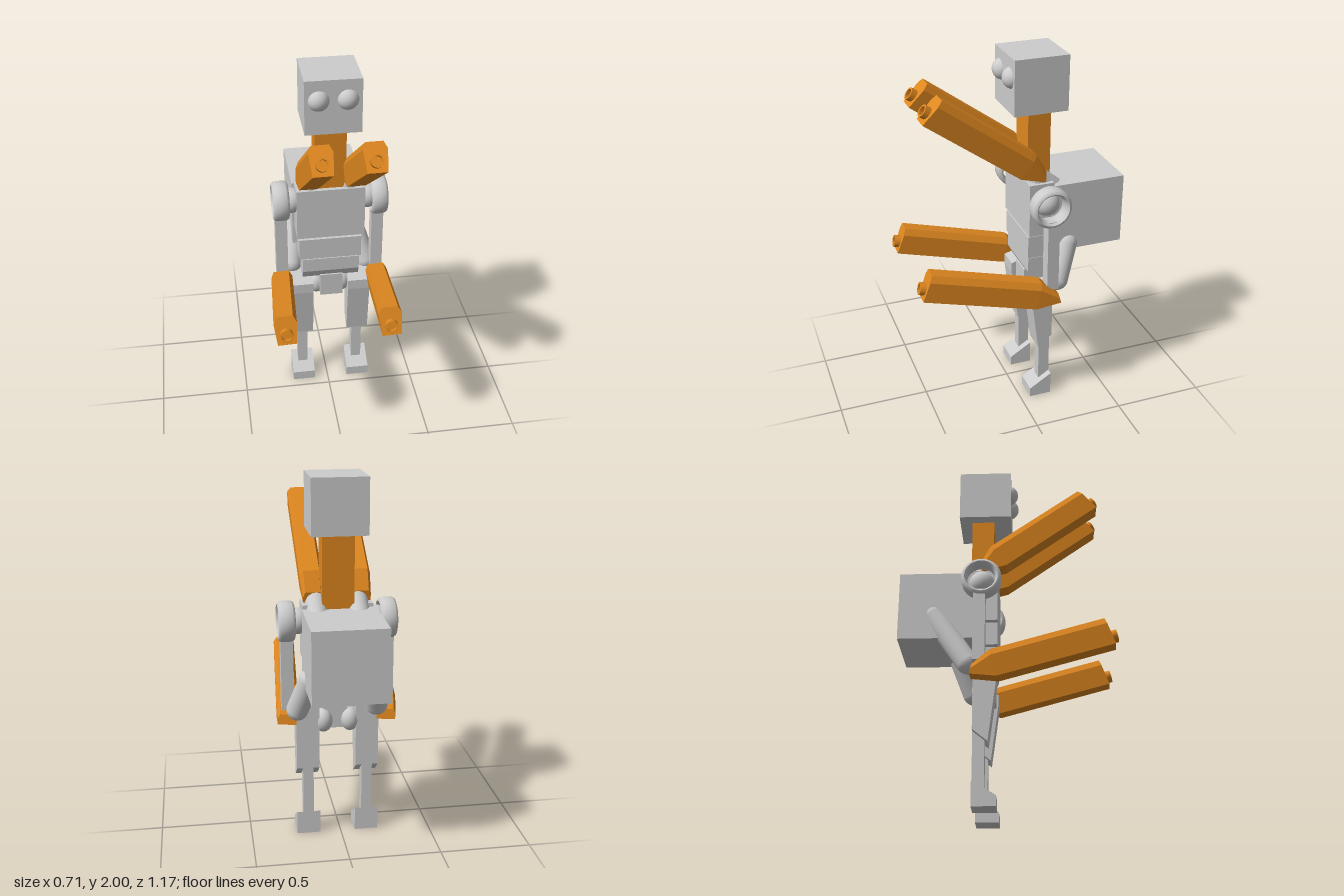
import * as THREE from 'three';
import { toCreasedNormals } from 'three/addons/utils/BufferGeometryUtils.js';

const CX = 0.018; // body centre line

export function createModel() {
  const model = new THREE.Group();
  model.name = 'robot';
  const grey = new THREE.MeshStandardMaterial({ color: 0xcccccc });
  grey.name = 'light grey';
  const orange = new THREE.MeshStandardMaterial({ color: 0xe08820 });
  orange.name = 'orange';

  const add = (name, geo, mat, parent = model) => {
    const mesh = new THREE.Mesh(geo, mat);
    mesh.name = name;
    parent.add(mesh);
    return mesh;
  };
  // box from its limits on each axis
  const box = (name, [x0, x1], [y0, y1], [z0, z1], mat = grey) =>
    add(name, new THREE.BoxGeometry(x1 - x0, y1 - y0, z1 - z0), mat)
      .position.set((x0 + x1) / 2, (y0 + y1) / 2, (z0 + z1) / 2);
  const ball = (name, r, x, y, z, sy = 1) => {
    const mesh = add(name, new THREE.SphereGeometry(r, 24, 16), grey);
    mesh.position.set(x, y, z);
    mesh.scale.y = sy;
  };
  // side outline of [z, y] points, given a width in x
  const prism = (name, outline, x, width) => {
    const shape = new THREE.Shape(outline.map(([z, y]) => new THREE.Vector2(z, y)));
    const geo = new THREE.ExtrudeGeometry(shape, { depth: width, bevelEnabled: false });
    geo.translate(0, 0, -width / 2).rotateY(-Math.PI / 2);
    add(name, geo, grey).position.x = x;
  };
  // round-ended strut between two points
  const strut = (name, from, to, r) => {
    const a = new THREE.Vector3(...from), b = new THREE.Vector3(...to);
    const mesh = add(name, new THREE.CapsuleGeometry(r, a.distanceTo(b), 8, 20), grey);
    mesh.position.copy(a).lerp(b, 0.5);
    mesh.quaternion.setFromUnitVectors(new THREE.Vector3(0, 1, 0), b.sub(a).normalize());
  };
  const lathe = (points, segments) => toCreasedNormals(
    new THREE.LatheGeometry(points.map(([r, y]) => new THREE.Vector2(r, y)), segments), 0.7);

  // head, eyes and neck
  box('head', [-0.13, 0.166], [1.705, 2], [-0.275, 0.018]);
  for (const s of [-1, 1]) ball('eye', 0.058, CX + s * 0.075, 1.89, 0);
  box('neck', [-0.067, 0.103], [1.28, 1.705], [-0.205, -0.08], orange);

  // trunk and backpack
  box('chest', [-0.17, 0.205], [1.03, 1.33], [-0.19, -0.055]);
  box('spine', [-0.12, 0.156], [0.8, 1.06], [-0.175, -0.075]);
  box('abdomen', [-0.16, 0.188], [0.89, 1.018], [-0.18, -0.055]);
  prism('pelvis', [[-0.18, 0.75], [-0.085, 0.75], [-0.06, 0.8], [-0.06, 0.882], [-0.18, 0.882]], CX, 0.32);
  box('groin', [-0.042, 0.088], [0.62, 0.76], [-0.15, -0.07]);
  box('backpack', [-0.183, 0.209], [0.92, 1.31], [-0.59, -0.185]);

  // weapon struts leaving the backpack
  strut('lowerRightStrut', [-0.135, 1.07, -0.4], [-0.19, 0.77, -0.21], 0.06);
  strut('lowerLeftStrut', [0.18, 0.95, -0.28], [0.24, 0.76, -0.205], 0.06);

  const ring = lathe([
    [0.08, -0.035], [0.09, -0.045], [0.1, -0.042], [0.108, -0.03], [0.11, 0], [0.108, 0.03],
    [0.1, 0.042], [0.09, 0.045], [0.08, 0.035], [0.075, 0], [0.08, -0.035],
  ], 32).rotateZ(Math.PI / 2);

  // shoulders, arms and legs on both sides
  for (const s of [-1, 1]) {
    strut('upperStrut', [CX + s * 0.11, 1.2, -0.29], [CX + s * 0.11, 1.335, -0.125], 0.06);
    ball('shoulderJoint', 0.07, CX + s * 0.21, 1.235, -0.138);
    add('shoulderRing', ring, grey).position.set(CX + s * 0.27, 1.235, -0.138);
    const ax = CX + s * 0.27;
    box('arm', [ax - 0.033, ax + 0.033], [0.75, 1.16], [-0.18, -0.115]);
    ball('hipBall', 0.05, CX + s * 0.073, 0.665, -0.145, 1.3);
    const lx = CX + s * 0.163;
    prism('thigh', [[-0.18, 0.4], [-0.1, 0.335], [-0.06, 0.65], [-0.06, 0.71], [-0.18, 0.75]], lx, 0.125);
    box('shin', [lx - 0.029, lx + 0.029], [0.06, 0.45], [-0.18, -0.117]);
    prism('foot', [[-0.18, 0], [-0.055, 0], [-0.055, 0.055], [-0.18, 0.133]], lx, 0.13);
  }

  // four long blasters: base point, pitch, yaw and roll
  const body = blasterBody();
  const nozzle = lathe([
    [0.034, 0.73], [0.034, 0.785], [0.024, 0.785], [0.024, 0.762], [0, 0.762],
  ], 16).rotateX(Math.PI / 2);
  for (const [name, pos, pitch, yaw, roll] of [
    ['upperRightBlaster', [-0.112, 1.34, -0.145], 0.627, 0.015, 0],
    ['upperLeftBlaster', [0.145, 1.34, -0.145], 0.627, 0.015, 0],
    ['lowerRightBlaster', [-0.248, 0.675, -0.19], 0.242, -0.07, 0.08],
    ['lowerLeftBlaster', [0.295, 0.675, -0.19], 0.242, -0.07, 0.08],
  ]) {
    const blaster = new THREE.Group();
    blaster.name = name;
    blaster.position.set(...pos);
    blaster.rotation.set(-pitch, yaw, roll, 'YXZ');
    add('blasterBody', body, orange, blaster);
    add('blasterNozzle', nozzle, orange, blaster);
    model.add(blaster);
  }
  return model;
}

// six-sided bar along +z with a wedge-shaped rear end
function blasterBody() {
  const full = [[-0.05, -0.055], [0.05, -0.055], [0.06, 0.06], [0.043, 0.096], [-0.043, 0.096], [-0.06, 0.06]];
  const rear = [[-0.05, -0.005], [0.05, -0.005], [0.052, 0.02], [0.04, 0.045], [-0.04, 0.045], [-0.052, 0.02]];
  const rings = [
    rear.map(([x, y]) => [x, y, y * 0.5]),
    full.map(([x, y]) => [x, y, 0.13]),
    full.map(([x, y]) => [x, y, 0.755 - 0.12 * y]),
  ];
  const n = full.length;
  const index = [];
  for (let k = 0; k < 2; k++) {
    for (let i = 0; i < n; i++) {
      const a = k * n + i, b = k * n + (i + 1) % n;
      index.push(a, b, b + n, a, b + n, a + n);
    }
  }
  for (let i = 1; i < n - 1; i++) index.push(0, i + 1, i, 2 * n, 2 * n + i, 2 * n + i + 1);
  const geo = new THREE.BufferGeometry();
  geo.setAttribute('position', new THREE.Float32BufferAttribute(rings.flat(2), 3));
  geo.setIndex(index);
  const flat = geo.toNonIndexed();
  flat.computeVertexNormals();
  return flat;
}
